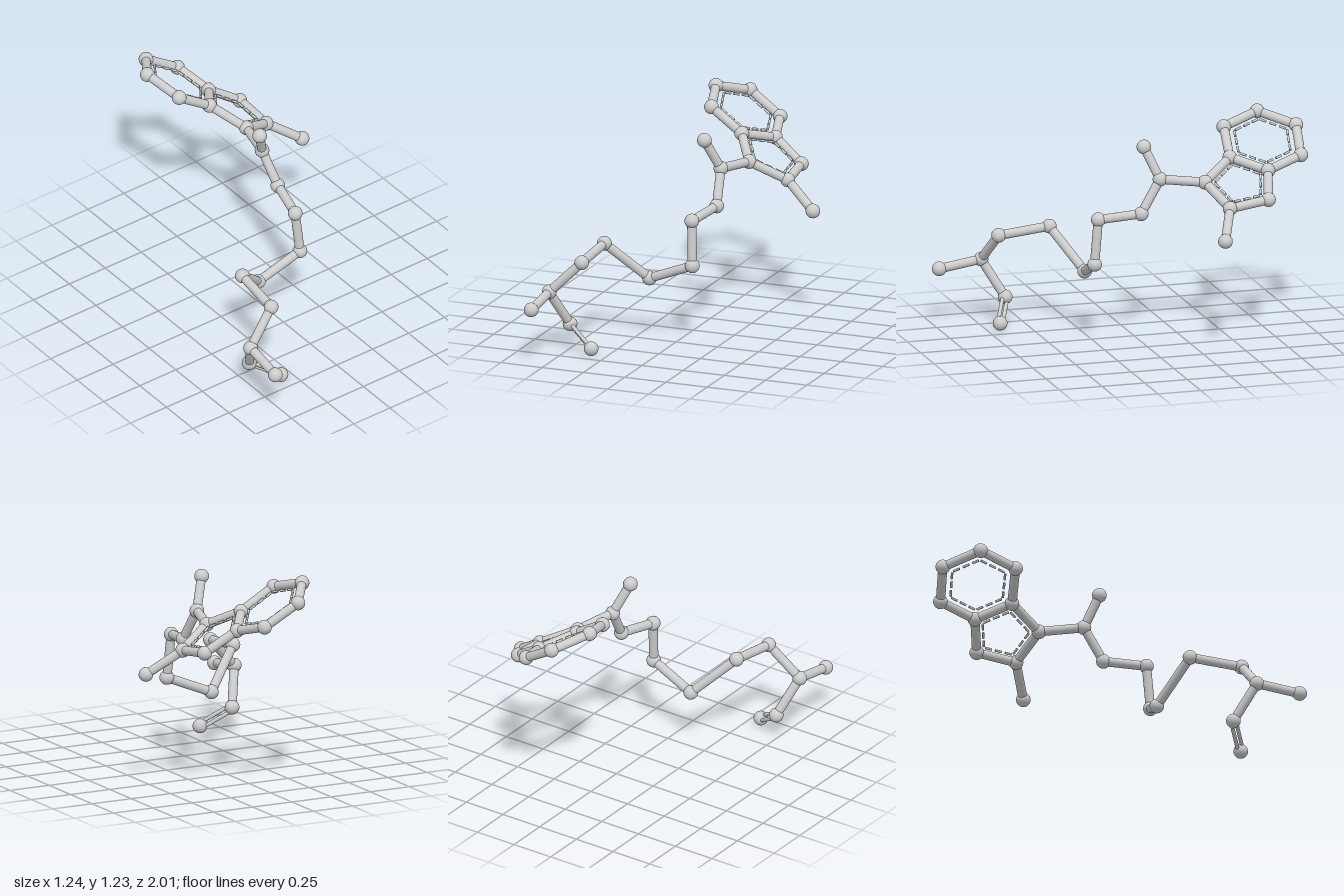
import * as THREE from 'three';

const BALL_R = 0.041, ROD_R = 0.026, THIN_R = 0.011, DASH_R = 0.007;
const UP = new THREE.Vector3(0, 1, 0);

// Joint centres
const joints = {
  forkTip: [-0.336, 0.041, 0.68], fork: [-0.497, 0.147, 0.60],
  branch: [-0.575, 0.355, 0.717], branchTip: [-0.583, 0.316, 0.96],
  chain1: [-0.397, 0.533, 0.67], chain2: [-0.381, 0.568, 0.378],
  chain3: [-0.166, 0.351, 0.238], chain4: [0.104, 0.46, 0.264],
  chain5: [0.09, 0.713, 0.238], chain6: [0.143, 0.742, 0.003],
  neck: [0.12, 0.927, -0.114], neckTip: [0.05, 1.102, -0.042],
  pentA: [0.19, 0.908, -0.356], pentB: [0.39, 0.80, -0.441],
  pentTip: [0.577, 0.664, -0.355], pentC: [0.376, 0.83, -0.67],
  sharedA: [0.198, 0.95, -0.722], sharedB: [0.07, 1.008, -0.539],
  hexA: [0.138, 1.008, -0.934], hexB: [-0.057, 1.131, -0.966],
  hexC: [-0.186, 1.193, -0.779], hexD: [-0.124, 1.134, -0.564],
};
const P = Object.fromEntries(Object.entries(joints).map(([k, v]) => [k, new THREE.Vector3(...v)]));

// Paths of thick rods; each consecutive pair is joined
const rodPaths = [
  ['fork', 'branch', 'chain1', 'chain2', 'chain3', 'chain4', 'chain5', 'chain6', 'neck', 'pentA'],
  ['branch', 'branchTip'], ['neck', 'neckTip'], ['pentB', 'pentTip'],
  ['pentA', 'pentB', 'pentC', 'sharedA', 'sharedB', 'pentA'],
  ['sharedA', 'hexA', 'hexB', 'hexC', 'hexD', 'sharedB'],
];
const rings = {
  pentagonDash: ['pentA', 'pentB', 'pentC', 'sharedA', 'sharedB'],
  hexagonDash: ['sharedA', 'hexA', 'hexB', 'hexC', 'hexD', 'sharedB'],
};

export function createModel() {
  const group = new THREE.Group();
  const material = new THREE.MeshStandardMaterial({ color: 0xcccccc });

  const rod = (name, a, b, radius, sides = 20) => {
    const dir = b.clone().sub(a);
    const mesh = new THREE.Mesh(new THREE.CylinderGeometry(radius, radius, dir.length(), sides), material);
    mesh.position.copy(a).lerp(b, 0.5);
    mesh.quaternion.setFromUnitVectors(UP, dir.normalize());
    mesh.name = name;
    group.add(mesh);
  };

  // Balls at every joint
  const ballGeometry = new THREE.SphereGeometry(BALL_R, 28, 18);
  for (const [name, p] of Object.entries(P)) {
    const ball = new THREE.Mesh(ballGeometry, material);
    ball.position.copy(p);
    ball.name = `${name}Ball`;
    group.add(ball);
  }

  // Thick rods
  for (const path of rodPaths) {
    for (let i = 0; i + 1 < path.length; i++) rod('rod', P[path[i]], P[path[i + 1]], ROD_R);
  }

  // Twin thin rods at the fork, spread in the plane of the neighbouring rod
  const axis = P.forkTip.clone().sub(P.fork).normalize();
  const spread = P.branch.clone().sub(P.fork);
  spread.addScaledVector(axis, -spread.dot(axis)).normalize();
  for (const s of [-0.017, 0.017]) {
    rod('twinRod', P.fork.clone().addScaledVector(spread, s), P.forkTip.clone().addScaledVector(spread, s), THIN_R, 14);
  }

  // Dashed inner outline of both rings
  for (const [name, keys] of Object.entries(rings)) {
    const centre = new THREE.Vector3();
    keys.forEach((k) => centre.addScaledVector(P[k], 1 / keys.length));
    const inner = keys.map((k) => centre.clone().lerp(P[k], 0.73));
    inner.forEach((a, i) => {
      const b = inner[(i + 1) % inner.length];
      for (const t of [0.04, 0.385, 0.73]) {
        rod(name, a.clone().lerp(b, t), a.clone().lerp(b, t + 0.23), DASH_R, 10);
      }
    });
  }
  return group;
}
